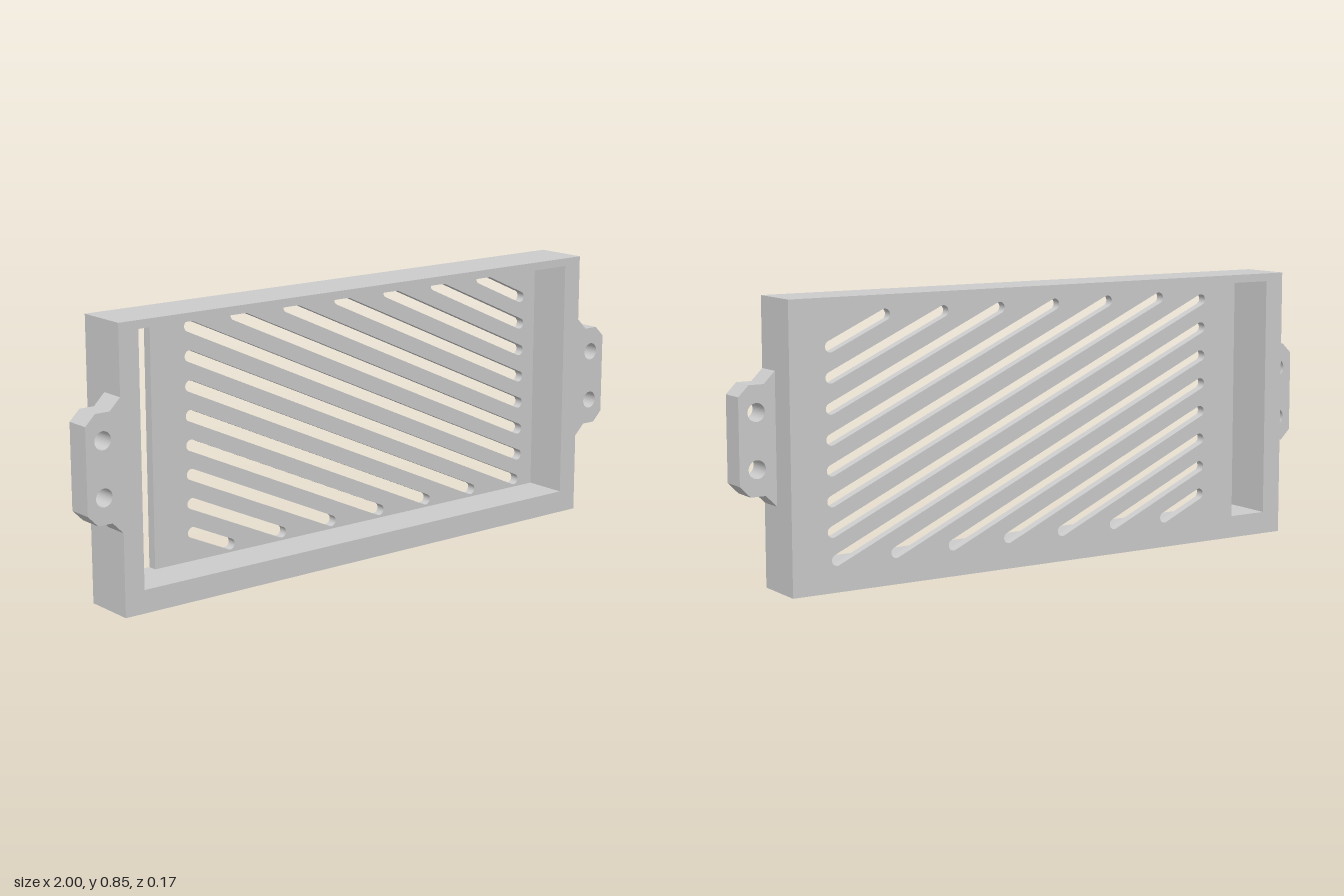
import * as THREE from 'three';

const material = new THREE.MeshStandardMaterial({ color: 0xcccccc });

const outline = (points, Type = THREE.Shape) => new Type(points.map(([x, y]) => new THREE.Vector2(x, y)));
const rect = (x0, y0, x1, y1, Type) => outline([[x0, y0], [x1, y0], [x1, y1], [x0, y1]], Type);

// Extrude a front-facing shape between two z levels
function slab(name, shape, z0, z1) {
  const geometry = new THREE.ExtrudeGeometry(shape, { depth: z1 - z0, bevelEnabled: false, curveSegments: 16 });
  geometry.translate(0, 0, z0);
  const mesh = new THREE.Mesh(geometry, material);
  mesh.name = name;
  return mesh;
}

// Round-ended slot between two cap centres
function slot(x0, y0, x1, y1, r) {
  const a = Math.atan2(y1 - y0, x1 - x0);
  const path = new THREE.Path();
  path.absarc(x1, y1, r, a - Math.PI / 2, a + Math.PI / 2, false);
  path.absarc(x0, y0, r, a + Math.PI / 2, a + Math.PI * 1.5, false);
  path.closePath();
  return path;
}

export function createModel() {
  const group = new THREE.Group();
  group.name = 'ventedPanel';
  const front = 0.085, back = -0.085;

  // Rectangular frame, with a thicker bottom rail
  const frame = rect(-0.885, 0, 0.885, 0.848);
  frame.holes.push(rect(-0.82, 0.07, 0.82, 0.823, THREE.Path));
  group.add(slab('frame', frame, back, front));

  // Thin back plate, stopping short on one side to leave a tall window
  const plate = rect(-0.69, 0.07, 0.82, 0.823);
  const left = -0.555, right = 0.755, top = 0.79, bottom = 0.095;
  const slope = 0.457, pitch = 0.0886;
  // Parallel sloping slots, clipped to a rectangular field
  for (let k = -6; k <= 7; k++) {
    const yLeft = 0.688 + k * pitch;
    const xAt = (y) => left + (yLeft - y) / slope;
    const yAt = (x) => yLeft - (x - left) * slope;
    const x0 = Math.max(left, xAt(top));
    const x1 = Math.min(right, xAt(bottom));
    plate.holes.push(slot(x0, yAt(x0), x1, yAt(x1), 0.017));
  }
  group.add(slab('slottedBackPlate', plate, back, back + 0.03));

  // Mounting ears with two screw holes each
  for (const [name, s] of [['leftEar', 1], ['rightEar', -1]]) {
    const ear = outline([
      [0.885, 0.25], [0.92, 0.285], [0.967, 0.285], [1, 0.318],
      [1, 0.573], [0.967, 0.605], [0.92, 0.605], [0.885, 0.64],
    ].map(([x, y]) => [s * x, y]));
    for (const y of [0.363, 0.526]) {
      ear.holes.push(new THREE.Path().absarc(s * 0.945, y, 0.027, 0, Math.PI * 2, false));
    }
    group.add(slab(name, ear, 0.005, front));
  }
  return group;
}
